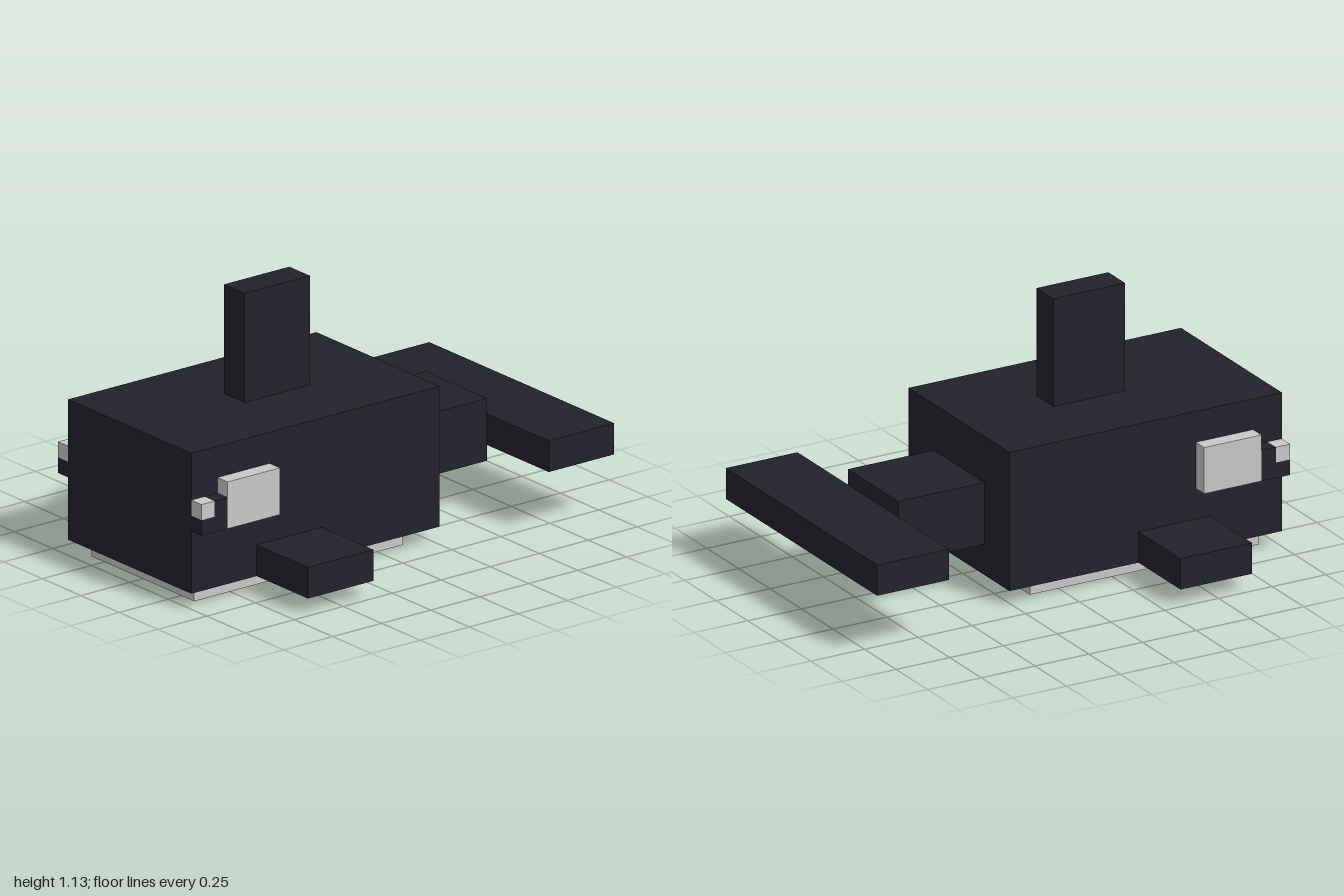
import * as THREE from 'three';

const U = 1 / 15; // block unit

export function createModel() {
  const model = new THREE.Group();
  model.name = 'blockWhale';
  const dark = new THREE.MeshStandardMaterial({ color: 0x22222c });
  dark.name = 'darkSkin';
  const pale = new THREE.MeshStandardMaterial({ color: 0xc8c8c8 });
  pale.name = 'paleSkin';

  // Box given by its minimum and maximum corners in block units
  function block(name, material, min, max) {
    const size = max.map((v, i) => (v - min[i]) * U);
    const mesh = new THREE.Mesh(new THREE.BoxGeometry(...size), material);
    mesh.position.set(...max.map((v, i) => ((v + min[i]) / 2) * U));
    mesh.name = name;
    model.add(mesh);
  }

  // The same box on the left (+x) and right (-x) sides
  function pair(name, material, min, max) {
    block('left' + name, material, min, max);
    block('right' + name, material, [-max[0], min[1], min[2]], [-min[0], max[1], max[2]]);
  }

  // Body along the centre line
  block('body', dark, [-6, 1, -4], [6, 10, 15]);
  block('belly', pale, [-5, 0, -2], [5, 1, 14]);
  block('dorsalFin', dark, [-1, 10, 2], [1, 17, 7]);
  block('tail', dark, [-3, 3, -10], [3, 7, -4]);
  block('tailFluke', dark, [-9, 4, -15], [9, 6, -10]);

  // Side fins and head markings
  pair('Flipper', dark, [6, 1, 5], [11, 3, 10]);
  pair('EyePatch', pale, [6, 5, 9], [7, 8, 13]);
  pair('EyeLower', dark, [6, 5, 13], [7, 6, 15]);
  pair('EyeBack', dark, [6, 6, 13], [7, 7, 14]);
  pair('EyeGlint', pale, [6, 6, 14], [7, 7, 15]);

  return model;
}
